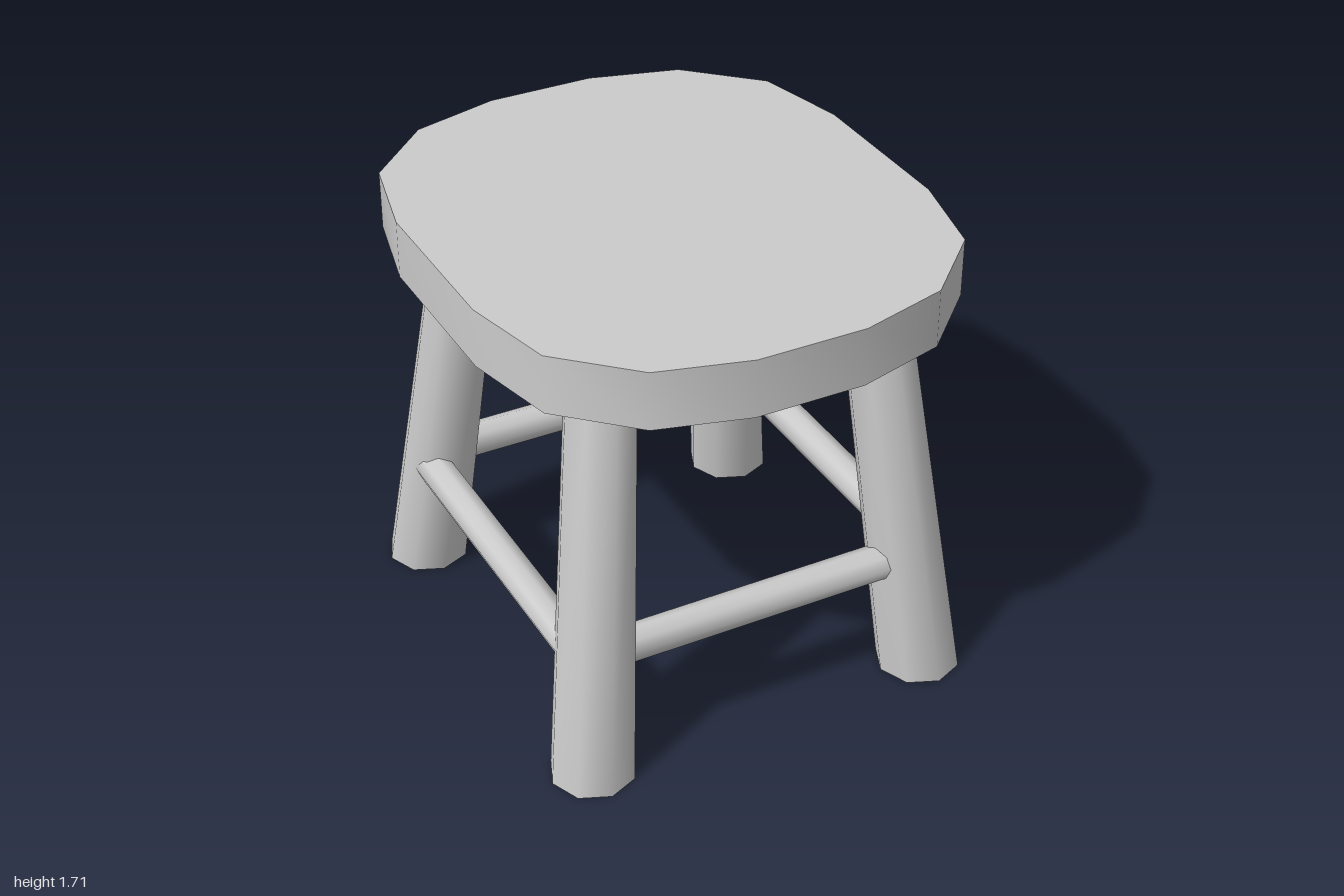
import * as THREE from 'three';
import { toCreasedNormals } from 'three/addons/utils/BufferGeometryUtils.js';

const material = new THREE.MeshStandardMaterial({ color: 0xcccccc });

function addMesh(group, name, geometry) {
  const mesh = new THREE.Mesh(geometry, material);
  mesh.name = name;
  group.add(mesh);
  return mesh;
}

// Seat: one quarter of the outline, mirrored into a 16-sided rounded slab
function seatGeometry(bottom, top) {
  const quarter = [[0.86, 0.32], [0.78, 0.67], [0.53, 0.91], [0.2, 1]];
  const half = [...quarter, ...quarter.map(([x, z]) => [-x, z]).reverse()];
  const outline = [...half, ...half.map(([x, z]) => [-x, -z])];
  const shape = new THREE.Shape(outline.map(([x, z]) => new THREE.Vector2(x, z)));
  const geometry = new THREE.ExtrudeGeometry(shape, { depth: top - bottom, bevelEnabled: false });
  geometry.rotateX(-Math.PI / 2).translate(0, bottom, 0);
  return toCreasedNormals(geometry, 0.9);
}

// Leg: tapered octagonal post, sheared so both ends stay level
function legGeometry(sx, sz) {
  const height = 1.5;
  const geometry = new THREE.CylinderGeometry(0.125, 0.155, height, 8);
  geometry.translate(0, height / 2, 0);
  const p = geometry.attributes.position;
  for (let i = 0; i < p.count; i++) {
    const t = p.getY(i) / height;
    p.setX(i, p.getX(i) + sx * THREE.MathUtils.lerp(0.665, 0.515, t));
    p.setZ(i, p.getZ(i) + sz * THREE.MathUtils.lerp(0.727, 0.535, t));
  }
  geometry.computeVertexNormals();
  return toCreasedNormals(geometry, 0.9);
}

// Stretcher: straight octagonal rod whose ends sink into the legs
function stretcherGeometry(length) {
  return toCreasedNormals(new THREE.CylinderGeometry(0.066, 0.066, length, 8), 0.9);
}

export function createModel() {
  const stool = new THREE.Group();
  stool.name = 'stool';
  addMesh(stool, 'seat', seatGeometry(1.495, 1.71));

  for (const [sideName, sx] of [['Left', 1], ['Right', -1]]) {
    for (const [endName, sz] of [['front', 1], ['back', -1]]) {
      addMesh(stool, `${endName}${sideName}Leg`, legGeometry(sx, sz));
    }
    const rod = addMesh(stool, `side${sideName}Stretcher`, stretcherGeometry(1.28));
    rod.rotation.x = Math.PI / 2;
    rod.position.set(sx * 0.675, 0.475, 0);
  }

  for (const [name, sz] of [['frontStretcher', 1], ['backStretcher', -1]]) {
    const rod = addMesh(stool, name, stretcherGeometry(1.18));
    rod.rotation.z = Math.PI / 2;
    rod.position.set(0, 0.475, sz * 0.69);
  }
  return stool;
}
